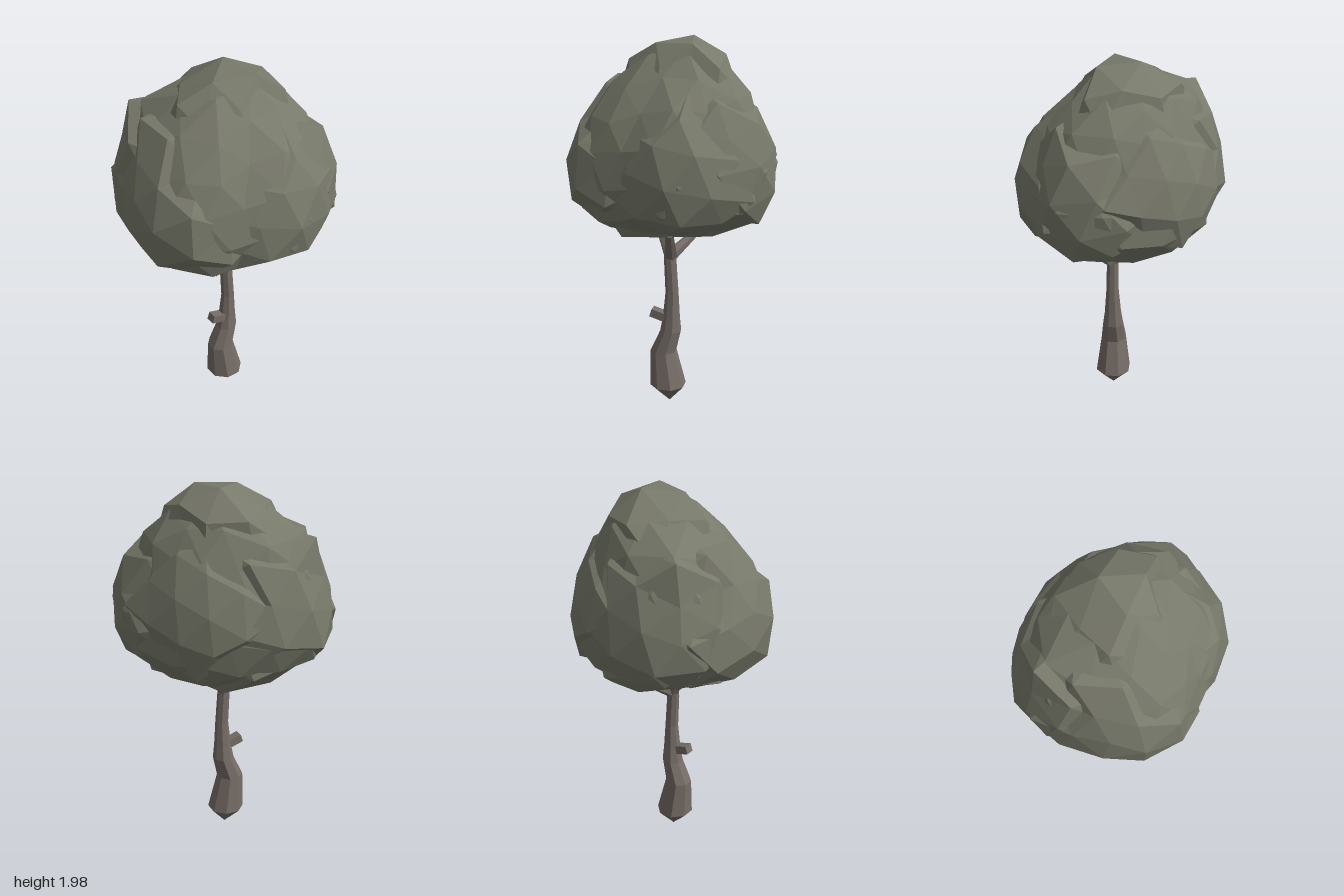
import * as THREE from 'three';

const leafMat = new THREE.MeshStandardMaterial({ color: 0x77796a, flatShading: true });
const barkMat = new THREE.MeshStandardMaterial({ color: 0x766d67, flatShading: true });

// Crown outline seen from above (x, z), and its vertical profile (radius, y)
const outline = [
  [0.52, -0.18], [0.525, 0.01], [0.43, 0.15], [0.40, 0.33], [0.27, 0.49], [0.04, 0.555],
  [-0.13, 0.51], [-0.30, 0.47], [-0.46, 0.34], [-0.525, 0.07], [-0.49, -0.06], [-0.43, -0.23],
  [-0.28, -0.39], [-0.12, -0.46], [0.03, -0.55], [0.13, -0.53], [0.24, -0.56], [0.36, -0.41], [0.48, -0.26],
].map(([x, z]) => ({ a: Math.atan2(z, x), r: Math.hypot(x, z) })).sort((p, q) => p.a - q.a);

const profile = new THREE.CatmullRomCurve3([
  [0, 1.995], [0.13, 1.95], [0.24, 1.87], [0.36, 1.74], [0.435, 1.6], [0.51, 1.45], [0.53, 1.32],
  [0.51, 1.16], [0.44, 1.06], [0.33, 1.0], [0, 0.965],
].map(([r, y]) => new THREE.Vector3(r, y, 0)));

function outlineRadius(angle) {
  const n = outline.length;
  for (let i = 0; i < n; i++) {
    const p = outline[i], q = outline[(i + 1) % n];
    const end = i === n - 1 ? q.a + 2 * Math.PI : q.a;
    const a = angle < p.a && i === n - 1 ? angle + 2 * Math.PI : angle;
    if (a >= p.a && a <= end) return THREE.MathUtils.lerp(p.r, q.r, (a - p.a) / (end - p.a));
  }
  return 0.53;
}

// Point on the crown surface in a given direction
function crownPoint(d) {
  const s = profile.getPointAt(Math.acos(THREE.MathUtils.clamp(d.y, -1, 1)) / Math.PI);
  const a = Math.atan2(d.z, d.x);
  const toward = (angle, power) => Math.max(0, Math.cos(a - angle)) ** power;
  // a full shoulder at the front right corner, and a slightly fuller right side
  const shoulder = 0.23 * toward(2.35, 7) * Math.exp(-(((s.y - 1.71) / 0.13) ** 2));
  const upper = 0.07 * Math.cos(a - 3.3) * Math.exp(-(((s.y - 1.83) / 0.12) ** 2));
  const r = Math.max(0, s.x) * outlineRadius(a) / 0.53 * (1 + shoulder + upper);
  const high = THREE.MathUtils.smoothstep(s.y, 1.6, 2);
  // the rim of the underside lifts at two opposite corners
  const lift = 0.06 * THREE.MathUtils.smoothstep(1.25 - s.y, 0, 0.25) * (toward(-0.45, 2) + toward(2.35, 2)) * Math.min(1, r / 0.4);
  return new THREE.Vector3(r * Math.cos(a) - 0.02 * high, s.y + lift, r * Math.sin(a) - 0.04 * high);
}

// A faceted leaf shell; with an axis it stands proud only around that direction
function leafShell(name, scale, seed, axis, spread) {
  const geo = new THREE.IcosahedronGeometry(1, 2);
  geo.rotateZ(seed * 0.7).rotateY(seed * 1.3);
  const centre = new THREE.Vector3(0, 1.4, 0);
  const pos = geo.attributes.position, d = new THREE.Vector3();
  for (let i = 0; i < pos.count; i++) {
    d.fromBufferAttribute(pos, i).normalize();
    let k = scale + 0.012 * Math.sin(6 * d.x + seed) * Math.sin(7 * d.y + 2 * seed) + 0.01 * Math.sin(11 * d.z + 3 * seed);
    if (axis) {
      const edge = spread + 0.15 * Math.sin(5 * d.x + 4 * d.y + 6 * d.z + seed);
      k -= 0.2 * THREE.MathUtils.smoothstep(d.angleTo(axis), edge, edge + 0.25);
    }
    const p = crownPoint(d).sub(centre).multiplyScalar(k).add(centre);
    pos.setXYZ(i, p.x, p.y, p.z);
  }
  geo.computeVertexNormals();
  const mesh = new THREE.Mesh(geo, leafMat);
  mesh.name = name;
  return mesh;
}

// Closed loft through horizontal rings: [x, y, z, radius]
function loft(rings, sides) {
  const verts = [], index = [];
  for (const [x, y, z, r] of rings)
    for (let j = 0; j < sides; j++) {
      const a = (j + 0.5) / sides * Math.PI * 2;
      verts.push(x + r * Math.cos(a), y, z + r * Math.sin(a));
    }
  for (let i = 0; i < rings.length - 1; i++)
    for (let j = 0; j < sides; j++) {
      const a = i * sides + j, b = i * sides + (j + 1) % sides;
      index.push(a, a + sides, b, b, a + sides, b + sides);
    }
  const geo = new THREE.BufferGeometry();
  geo.setAttribute('position', new THREE.Float32BufferAttribute(verts, 3));
  geo.setIndex(index);
  geo.computeVertexNormals();
  return geo;
}

// Tapered limb between two points
function limb(name, from, to, r0, r1, sides) {
  const a = new THREE.Vector3(...from), b = new THREE.Vector3(...to);
  const mesh = new THREE.Mesh(new THREE.CylinderGeometry(r1, r0, a.distanceTo(b), sides), barkMat);
  mesh.position.copy(a).add(b).multiplyScalar(0.5);
  mesh.quaternion.setFromUnitVectors(new THREE.Vector3(0, 1, 0), b.sub(a).normalize());
  mesh.name = name;
  return mesh;
}

export function createModel() {
  const tree = new THREE.Group();
  tree.name = 'tree';

  // Trunk with a pointed root, swollen base and slight bend
  const trunk = new THREE.Mesh(loft([
    [0.045, 0, 0.025, 0.001],
    [0.047, 0.1, 0.033, 0.098],
    [0.046, 0.3, 0.058, 0.071],
    [0.046, 0.42, 0.018, 0.057],
    [0.046, 0.5, 0.014, 0.046],
    [0.047, 0.64, 0.01, 0.035],
    [0.045, 0.82, 0.02, 0.033],
    [0.04, 0.9, 0.022, 0.032],
    [0.04, 0.93, 0.025, 0.001],
  ], 8), barkMat);
  trunk.name = 'trunk';
  tree.add(trunk);

  // Branches reaching into the crown
  [
    [[0.21, 1.02, -0.02], 0.021], [[-0.17, 0.99, -0.14], 0.013], [[0.0, 1.02, 0.1], 0.02],
  ].forEach(([tip, r], i) =>
    tree.add(limb('branch' + (i + 1), [0.044, 0.845, 0.018], tip, 0.035, r, 6)));

  // Squared cut stub on the front of the trunk
  const stub = new THREE.Mesh(new THREE.BoxGeometry(0.05, 0.045, 0.11), barkMat);
  stub.position.set(0.05, 0.504, 0.07);
  stub.rotation.x = -0.3;
  stub.name = 'stub';
  tree.add(stub);

  // Crown: an inner core with overlapping clumps of leaves
  const crown = new THREE.Group();
  crown.name = 'crown';
  crown.add(leafShell('crownCore', 0.975, 1));
  const clumps = [
    ['frontClump', 0.1, -0.1, 1, 0.8], ['frontRightClump', -0.85, 0.15, 0.5, 0.7],
    ['leftClump', 1, -0.05, -0.2, 0.7], ['backClump', 0.35, 0, -1, 0.65],
    ['backRightClump', -0.7, 0.1, -0.7, 0.7], ['topClump', -0.1, 1, -0.15, 0.6],
    ['bottomClump', -0.2, -1, 0.1, 0.7],
  ];
  clumps.forEach(([name, x, y, z, spread], i) =>
    crown.add(leafShell(name, 1.015, i + 2, new THREE.Vector3(x, y, z).normalize(), spread)));
  tree.add(crown);
  return tree;
}
